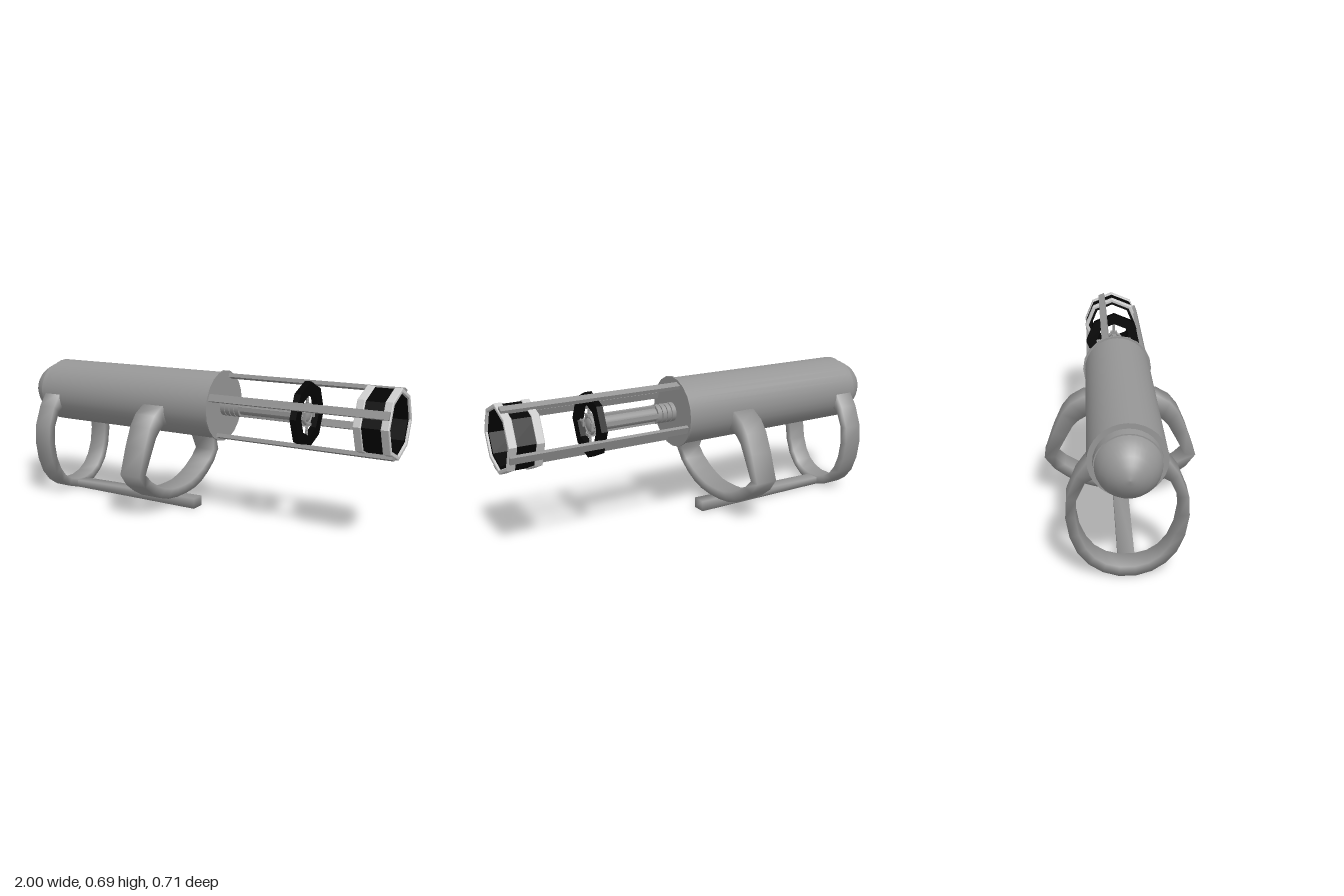
import * as THREE from 'three';
import { mergeVertices } from 'three/addons/utils/BufferGeometryUtils.js';

const AXIS_Y = 0.528;
const grey = new THREE.MeshStandardMaterial({ color: 0x969696 });
const white = new THREE.MeshStandardMaterial({ color: 0xffffff });
const black = new THREE.MeshStandardMaterial({ color: 0x030303 });

function add(parent, name, geometry, material = grey) {
  const mesh = new THREE.Mesh(geometry, material);
  mesh.name = name;
  parent.add(mesh);
  return mesh;
}

// Cylinder lying along x, between two x positions
function rod(x0, x1, r, sides = 24) {
  return new THREE.CylinderGeometry(r, r, x1 - x0, sides).rotateZ(-Math.PI / 2).translate((x0 + x1) / 2, 0, 0);
}

// Octagonal tube along x with a point at the top and optional softened edges
function octagonTube(x0, x1, outer, inner, bevel = 0) {
  const points = r => Array.from({ length: 8 }, (_, i) =>
    new THREE.Vector2(r * Math.cos(i * Math.PI / 4), r * Math.sin(i * Math.PI / 4)));
  const shape = new THREE.Shape(points(outer - bevel));
  shape.holes.push(new THREE.Path(points(inner + bevel).reverse()));
  return new THREE.ExtrudeGeometry(shape, {
    depth: x1 - x0 - 2 * bevel, bevelEnabled: bevel > 0, bevelSize: bevel, bevelThickness: bevel, bevelSegments: 2,
  }).rotateY(Math.PI / 2).translate(x0 + bevel, 0, 0);
}

// Square-section hoop with soft shading, swept through
// [outer z, outer y, inner z, inner y] stations and mirrored across z
function hoop(half, x, halfWidth) {
  const stations = [...half, ...half.slice().reverse().map(([a, b, c, d]) => [-a, b, -c, d])];
  const positions = [], index = [];
  stations.forEach(([zo, yo, zi, yi], i) => {
    const x0 = x - halfWidth, x1 = x + halfWidth;
    positions.push(x0, yo, zo, x1, yo, zo, x1, yi, zi, x0, yi, zi);
    if (i === stations.length - 1) return;
    for (let j = 0; j < 4; j++) {
      const k = (j + 1) % 4, p = i * 4, q = p + 4;
      index.push(p + j, q + j, p + k, p + k, q + j, q + k);
    }
  });
  const g = new THREE.BufferGeometry();
  g.setAttribute('position', new THREE.Float32BufferAttribute(positions, 3));
  g.setIndex(index);
  g.computeVertexNormals();
  return g;
}

export function createModel() {
  const model = new THREE.Group();
  model.name = 'barrelledDevice';
  const barrel = new THREE.Group();
  barrel.name = 'barrelAssembly';
  barrel.position.y = AXIS_Y;
  model.add(barrel);

  // Main housing with its front flange and rear dome
  add(barrel, 'housing', rod(-0.84, 0.145, 0.158, 32));
  add(barrel, 'frontFlange', rod(0.142, 0.15, 0.168, 20));
  add(barrel, 'rearCollar', rod(-0.885, -0.83, 0.136, 32));
  const dome = [[0.132, 0.88], [0.126, 0.905], [0.109, 0.935], [0.083, 0.963], [0.053, 0.983], [0.025, 0.995], [0, 1]];
  add(barrel, 'rearDome', new THREE.LatheGeometry(dome.map(p => new THREE.Vector2(...p)), 32).rotateZ(Math.PI / 2));

  // Inner barrel with ribs at its root
  add(barrel, 'innerBarrel', rod(0.14, 0.575, 0.033));
  for (let i = 0; i < 4; i++) add(barrel, 'barrelRib', rod(0.152 + i * 0.025, 0.173 + i * 0.025, 0.045));
  add(barrel, 'barrelHub', new THREE.TorusGeometry(0.04, 0.008, 8, 24).rotateY(Math.PI / 2).translate(0.575, 0, 0));
  add(barrel, 'barrelTip', new THREE.SphereGeometry(0.033, 16, 10).scale(0.4, 1, 1).translate(0.575, 0, 0));

  // Four sets of strips, ribbed spokes and outer rails
  for (let i = 0; i < 4; i++) {
    const set = new THREE.Group();
    set.name = 'quarterSupport';
    set.rotation.x = i * Math.PI / 2;
    barrel.add(set);
    add(set, 'barrelStrip', new THREE.BoxGeometry(0.34, 0.012, 0.02).translate(0.41, 0.036, 0));
    add(set, 'spokeLug', new THREE.BoxGeometry(0.03, 0.012, 0.034).translate(0.575, 0.045, 0));
    add(set, 'spoke', new THREE.CylinderGeometry(0.006, 0.006, 0.06, 10).translate(0.575, 0.075, 0));
    for (let k = 0; k < 4; k++) {
      add(set, 'spokeRib', new THREE.SphereGeometry(0.007, 10, 6).translate(0.575, 0.057 + k * 0.012, 0));
    }
    const rail = add(set, 'outerRail', new THREE.BoxGeometry(0.845, 0.018, 0.034).translate(0.5725, 0.146, 0));
    rail.rotation.x = -Math.PI / 8;
  }

  // Octagonal middle ring and muzzle
  add(barrel, 'middleRing', octagonTube(0.56, 0.59, 0.15, 0.097), black);
  add(barrel, 'muzzleSleeve', octagonTube(0.855, 0.99, 0.148, 0.12), black);
  for (const x of [0.845, 0.964]) add(barrel, 'muzzleBand', octagonTube(x, x + 0.036, 0.154, 0.135, 0.004), white);

  // Rear and front hand hoops
  add(model, 'rearHoop', hoop([
    [0.1, 0.58, 0.08, 0.5], [0.15, 0.535, 0.12, 0.46], [0.2, 0.465, 0.165, 0.435], [0.24, 0.365, 0.2, 0.36],
    [0.245, 0.28, 0.205, 0.28], [0.23, 0.19, 0.192, 0.2], [0.2, 0.115, 0.165, 0.135],
    [0.155, 0.06, 0.13, 0.09], [0.1, 0.022, 0.085, 0.06], [0.035, 0.001, 0.03, 0.045],
  ], -0.7925, 0.0475));
  add(model, 'frontHoop', hoop([
    [0.1, 0.53, 0.09, 0.44], [0.17, 0.525, 0.155, 0.43], [0.23, 0.49, 0.19, 0.41], [0.27, 0.44, 0.22, 0.38],
    [0.31, 0.35, 0.253, 0.32], [0.355, 0.22, 0.305, 0.222], [0.31, 0.16, 0.26, 0.18],
    [0.25, 0.115, 0.2, 0.143], [0.19, 0.082, 0.14, 0.117], [0.12, 0.06, 0.08, 0.1], [0.035, 0.05, 0.03, 0.096],
  ], -0.148, 0.055));

  // Lower bar with soft shading, deepening slightly towards its free end
  const box = new THREE.BoxGeometry(0.79, 0.046, 0.07).translate(-0.395, 0.025, 0);
  box.deleteAttribute('normal');
  box.deleteAttribute('uv');
  const bar = mergeVertices(box);
  const p = bar.attributes.position;
  for (let i = 0; i < p.count; i++) if (p.getY(i) > 0.03) p.setY(i, 0.053 + p.getX(i) * 0.02);
  bar.computeVertexNormals();
  add(model, 'lowerBar', bar);

  return model;
}
